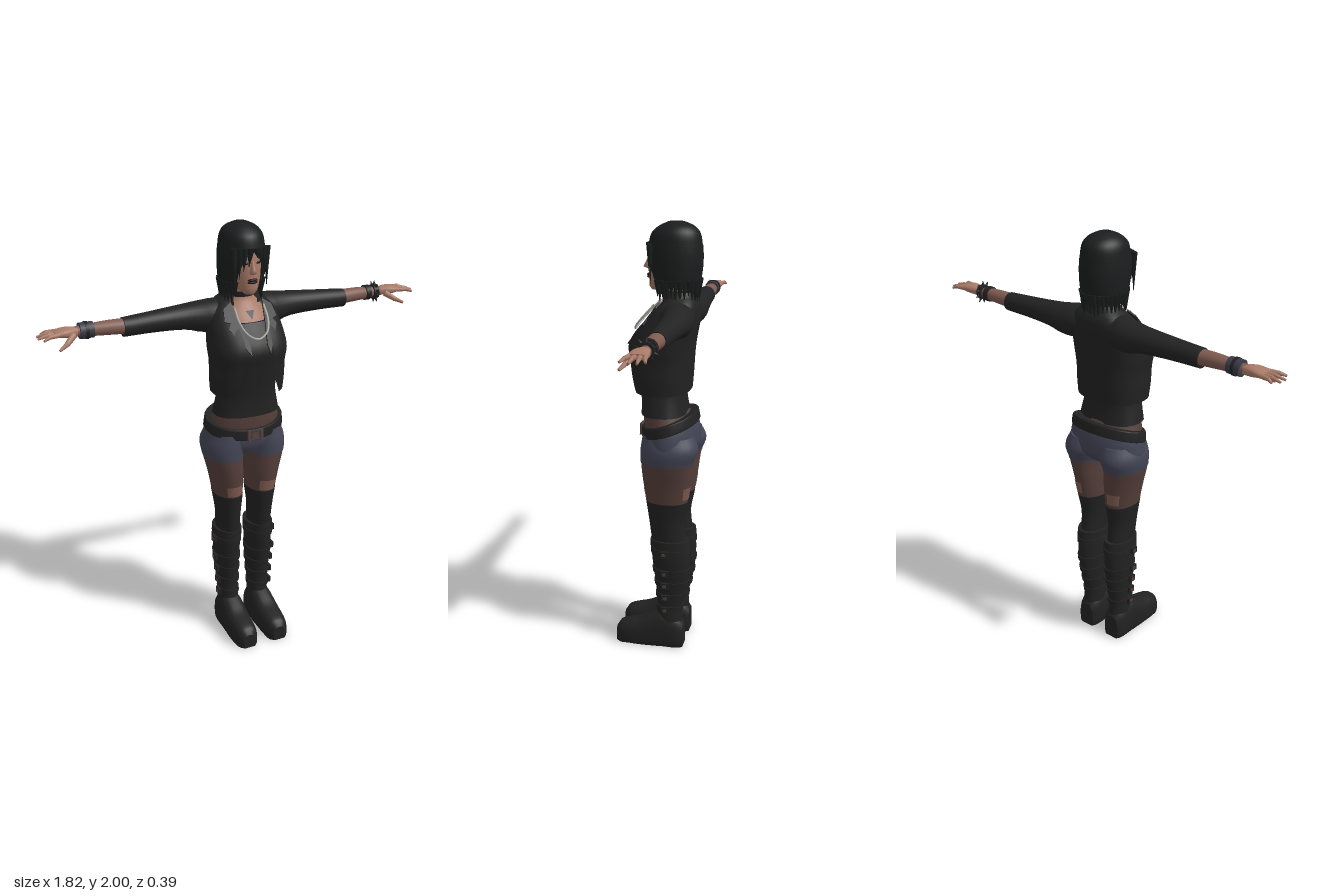
import * as THREE from 'three';

const mat = (name, color, side = THREE.DoubleSide) => {
  const m = new THREE.MeshStandardMaterial({ color, side });
  m.name = name;
  return m;
};

// Smoothly resample rows (sorted by their first value) between t0 and t1
function sample(rows, t0 = rows[0][0], t1 = rows[rows.length - 1][0], n = 16, grow = 0) {
  const out = [], last = rows.length - 1;
  const slope = (i, k) => {
    const a = rows[Math.max(i - 1, 0)], b = rows[Math.min(i + 1, last)];
    return (b[k] - a[k]) / (b[0] - a[0]);
  };
  for (let s = 0; s <= n; s++) {
    const t = t0 + (t1 - t0) * s / n;
    let i = 0;
    while (i < last - 1 && (t - rows[i + 1][0]) * (rows[last][0] - rows[0][0]) > 0) i++;
    const a = rows[i], b = rows[i + 1], h = b[0] - a[0], u = (t - a[0]) / h;
    const r = a.map((v, k) => k === 0 ? t
      : v * (2 * u ** 3 - 3 * u * u + 1) + b[k] * (3 * u * u - 2 * u ** 3)
      + h * (slope(i, k) * (u ** 3 - 2 * u * u + u) + slope(i + 1, k) * (u ** 3 - u * u)));
    r[2] += grow; r[3] += grow; r[4] -= grow;
    out.push(r);
  }
  return out;
}

// Skin cross-sections [t, centre, halfWidth, front, back, gap?] along an axis.
// A gap is the half angle left open, facing the front unless turned.
function loft(rows, { axis = 'y', e = 1, n = 28, cap = true, turn = 0, warp } = {}) {
  const pos = [], idx = [], open = rows[0].length > 5, cols = open ? n + 1 : n;
  const put = (t, u, v) => {
    const p = axis === 'y' ? [u, t, v] : axis === 'x' ? [t, u, v] : [u, v, t];
    pos.push(...(warp ? warp(...p) : p));
  };
  const pw = v => Math.sign(v) * Math.abs(v) ** e;
  const ring = ([t, c, w, f, b, g = 0]) => {
    for (let j = 0; j < cols; j++) {
      const a = Math.PI / 2 + turn + g + (2 * Math.PI - 2 * g) * j / n;
      put(t, c + w * pw(Math.cos(a)), (f + b) / 2 + (f - b) / 2 * pw(Math.sin(a)));
    }
  };
  const flip = (axis !== 'y') !== (rows[rows.length - 1][0] < rows[0][0]);
  const tri = (a, b, c) => flip ? idx.push(a, c, b) : idx.push(a, b, c);
  rows.forEach(ring);
  for (let i = 0; i < rows.length - 1; i++) for (let j = 0; j < n; j++) {
    const a = i * cols + j, b = i * cols + (j + 1) % cols;
    tri(a, a + cols, b); tri(b, a + cols, b + cols);
  }
  if (cap && !open) [rows[0], rows[rows.length - 1]].forEach((r, k) => {
    const s = pos.length / 3;
    ring(r); put(r[0], r[1], (r[3] + r[4]) / 2);
    for (let j = 0; j < n; j++) {
      const a = s + j, b = s + (j + 1) % n;
      k ? tri(a, s + n, b) : tri(a, b, s + n);
    }
  });
  const g = new THREE.BufferGeometry();
  g.setAttribute('position', new THREE.Float32BufferAttribute(pos, 3));
  g.setIndex(idx);
  g.computeVertexNormals();
  return g;
}

export function createModel() {
  const root = new THREE.Group();
  const cloth = mat('black cloth', 0x222222), hairMat = mat('hair', 0x1b1e1e), skin = mat('skin', 0xa87a68),
    dusky = mat('shaded skin', 0x7f5b50), tights = mat('tights', 0x553f3a), denim = mat('denim', 0x434555),
    silver = mat('silver', 0xb4b4ae), dark = mat('makeup', 0x1a1216), gun = mat('gunmetal', 0x393c48);
  const add = (parent, name, geo, m, p = [0, 0, 0], r = [0, 0, 0], s = [1, 1, 1]) => {
    const o = new THREE.Mesh(geo, m);
    o.name = name; o.position.set(...p); o.rotation.set(...r); o.scale.set(...s);
    parent.add(o);
    return o;
  };
  const limb = (parent, name, a, b, ra, rb, m) => {
    const A = new THREE.Vector3(...a), d = new THREE.Vector3(...b).sub(A);
    const o = add(parent, name, new THREE.CylinderGeometry(rb, ra, d.length(), 8), m);
    o.position.copy(A).addScaledVector(d, 0.5);
    o.quaternion.setFromUnitVectors(new THREE.Vector3(0, 1, 0), d.normalize());
  };

  // Torso: bare chest and neck, shirt, midriff
  add(root, 'chestAndNeck', loft(sample([[1.54, 0, .13, .075, -.13], [1.6, 0, .11, .04, -.13], [1.645, 0, .08, .005, -.12],
    [1.68, 0, .05, -.012, -.105], [1.75, 0, .047, -.005, -.11]])), skin);
  add(root, 'shirt', loft(sample([[1.15, 0, .156, .086, -.125], [1.2, 0, .145, .085, -.115], [1.26, 0, .133, .09, -.112],
    [1.32, 0, .138, .102, -.12], [1.4, 0, .15, .118, -.13], [1.46, 0, .158, .13, -.135], [1.52, 0, .15, .1, -.14], [1.58, 0, .13, .06, -.14]]), { e: .85 }), cloth);
  add(root, 'midriff', loft(sample([[1.04, 0, .172, .065, -.15], [1.1, 0, .166, .076, -.145], [1.18, 0, .146, .078, -.115]])), tights);
  add(root, 'chestTattoo', new THREE.CircleGeometry(.03, 3), gun, [0, 1.615, .036], [-.67, 0, -Math.PI / 2], [1, .8, 1]);

  // Cropped jacket, open at the front, with collar and lapels
  add(root, 'jacket', loft(sample([[1.255, 0, .164, .115, -.135, .68], [1.32, 0, .168, .126, -.14, .45], [1.4, 0, .168, .136, -.145, .36],
    [1.46, 0, .176, .142, -.15, .3], [1.52, 0, .172, .112, -.16, .3], [1.58, 0, .165, .06, -.17, .36], [1.63, 0, .148, .018, -.17, .45],
    [1.66, 0, .115, -.008, -.162, .6], [1.685, 0, .075, -.02, -.14, .7]], undefined, undefined, 24), { e: .8, n: 40 }), cloth);
  add(root, 'collar', loft([[1.645, 0, .1, .0, -.16, .6], [1.675, 0, .092, -.005, -.157, .65], [1.7, 0, .074, -.02, -.145, .75]]), cloth);
  const lapel = new THREE.Shape([[.075, .045], [.115, .02], [.125, -.04], [.1, -.05], [.115, -.075], [.045, -.21], [.04, -.17], [.06, -.06]]
    .map(p => new THREE.Vector2(...p)));

  // Shorts and sloping belt
  add(root, 'shorts', loft(sample([[.955, 0, .15, .045, -.13], [1, 0, .193, .068, -.172], [1.05, 0, .192, .075, -.176], [1.095, 0, .178, .08, -.158]]),
    { warp: (x, y, z) => [x, y - (y > 1.03 ? .3 * z * (y - 1.03) / .06 : 0), z] }), denim);
  add(root, 'belt', loft([[1.06, 0, .19, .083, -.172], [1.065, 0, .193, .086, -.175], [1.105, 0, .188, .086, -.168], [1.11, 0, .184, .083, -.164]],
    { warp: (x, y, z) => [x, y - .3 * z, z] }), cloth);
  add(root, 'beltBuckle', new THREE.BoxGeometry(.075, .05, .012), tights, [0, 1.06, .088], [-.1, 0, 0]);
  add(root, 'buckleFrame', new THREE.TorusGeometry(.03, .006, 4, 4), gun, [0, 1.06, .094], [0, 0, Math.PI / 4]);

  // Choker and chain necklace
  add(root, 'choker', loft([[1.68, 0, .056, -.006, -.112], [1.702, 0, .054, -.002, -.112]]), cloth);
  const chain = new THREE.CatmullRomCurve3([[-.07, 1.645, .02], [-.068, 1.59, .07], [-.045, 1.545, .108], [0, 1.523, .12],
    [.045, 1.545, .108], [.068, 1.59, .07], [.07, 1.645, .02]].map(p => new THREE.Vector3(...p)));
  add(root, 'necklace', new THREE.TubeGeometry(chain, 40, .0045, 5), silver);

  const leg = [[.54, .082, .05, .026, -.13], [.64, .083, .055, .038, -.122], [.74, .085, .067, .052, -.14], [.84, .092, .078, .066, -.155],
    [.94, .104, .09, .072, -.168], [1, .101, .097, .072, -.187], [1.06, .09, .085, .065, -.165]];
  const boot = [[.05, .08, .05, .01, -.12], [.13, .08, .05, .01, -.12], [.2, .079, .047, .002, -.117], [.3, .08, .051, .008, -.138],
    [.4, .083, .058, .02, -.15], [.48, .083, .061, .028, -.15], [.55, .082, .06, .028, -.142]];
  const foot = [[-.125, .08, .04, .12, -.02], [-.1, .08, .053, .15, -.03], [-.03, .08, .058, .18, -.03], [.02, .08, .06, .16, -.03],
    [.08, .081, .061, .128, -.03], [.15, .081, .056, .108, -.03], [.185, .08, .046, .094, -.03], [.2, .08, .03, .07, -.02]];

  for (const side of [1, -1]) {
    const half = new THREE.Group();
    half.name = side > 0 ? 'leftSide' : 'rightSide';
    half.scale.x = side;
    root.add(half);

    add(half, 'lapel', new THREE.ExtrudeGeometry(lapel, { depth: .006, bevelEnabled: false }), cloth, [0, 1.63, .022], [-.64, .12, 0]);

    // Leg: shorts, torn tights, stocking
    add(half, 'shortsLeg', loft(sample(leg, .935, 1.06, 10, .002)), denim);
    add(half, 'tights', loft(sample(leg, .74, .95, 10)), tights);
    add(half, 'stocking', loft(sample(leg, .54, .742, 10, .002)), cloth);
    const patch = (y0, y1, turn, h) => add(half, 'tightsHole',
      loft(sample(leg, y0, y1, 4, .002).map(r => [...r, Math.PI - h]), { turn, n: 10 }), dusky);
    patch(.748, .8, Math.PI + .05, .55);
    patch(.76, .82, .25, .4);

    // Buckled boot
    add(half, 'bootShaft', loft(sample(boot, .05, .55, 20)), cloth);
    add(half, 'bootCuff', loft(sample(boot, .515, .55, 3, .006)), cloth);
    add(half, 'bootFoot', loft(sample(foot, -.125, .2, 20), { axis: 'z', e: .75, warp: (x, y, z) => [x, Math.max(0, y), z] }), cloth);
    for (const y of [.2, .265, .33, .395, .495]) {
      const [, c, w] = sample(boot, y, y + .01, 1)[0];
      add(half, 'bootStrap', loft(sample(boot, y - .012, y + .012, 2, .005)), cloth);
      add(half, 'strapBuckle', new THREE.BoxGeometry(.014, .03, .035), cloth, [c + w + .009, y, -.045]);
      add(half, 'strapPin', new THREE.BoxGeometry(.004, .014, .018), tights, [c + w + .016, y, -.045]);
    }

    // Arm: sleeve, forearm, hand
    add(half, 'sleeve', loft(sample([[.04, 1.6, .05, -.03, -.155], [.11, 1.593, .073, -.012, -.17], [.18, 1.59, .07, -.03, -.175],
      [.25, 1.595, .057, -.045, -.17], [.4, 1.593, .047, -.055, -.155], [.54, 1.588, .042, -.058, -.143]]), { axis: 'x' }), cloth);
    add(half, 'forearm', loft(sample([[.52, 1.592, .034, -.065, -.138], [.62, 1.595, .031, -.07, -.134], [.72, 1.595, .024, -.08, -.127],
      [.76, 1.597, .02, -.08, -.127]]), { axis: 'x' }), dusky);
    add(half, 'palm', loft(sample([[.74, 1.596, .02, -.08, -.126], [.78, 1.599, .021, -.064, -.135], [.81, 1.6, .017, -.06, -.138],
      [.84, 1.6, .011, -.064, -.136]]), { axis: 'x', e: .8 }), skin);
    [[-.128, -.142, .885], [-.11, -.115, .908], [-.09, -.083, .91], [-.071, -.045, .893]].forEach(([z0, z1, x]) => {
      limb(half, 'finger', [.82, 1.6, z0], [.868, 1.599, (z0 + z1) / 2], .011, .009, skin);
      limb(half, 'fingertip', [.865, 1.599, (z0 + z1) / 2], [x, 1.59, z1], .009, .005, skin);
    });
    limb(half, 'thumb', [.76, 1.59, -.075], [.8, 1.562, -.045], .015, .011, skin);
    limb(half, 'thumbTip', [.798, 1.564, -.046], [.835, 1.546, -.028], .011, .006, skin);

    add(half, 'eye', new THREE.SphereGeometry(.014, 12, 8), dark, [.031, 1.84, .046], [0, .3, 0], [1, .45, .4]);
  }

  // Wrist wear: a cuff on the right, a band and spiked bracelet on the left
  const band = (name, x0, x1, r, m) => add(root, name, loft([[x0, 1.596, r, -.103 + r, -.103 - r], [x1, 1.596, r, -.103 + r, -.103 - r]], { axis: 'x' }), m);
  band('wristCuff', -.73, -.67, .035, gun);
  band('cuffStrap', -.707, -.693, .038, silver).material = cloth;
  band('wristBand', .66, .685, .035, cloth);
  band('spikedBracelet', .703, .728, .034, cloth);
  for (let i = 0; i < 10; i++) {
    const a = i * Math.PI / 5, c = Math.cos(a), s = Math.sin(a);
    limb(root, 'spike', [.715, 1.596 + .032 * c, -.103 + .032 * s], [.715, 1.596 + .052 * c, -.103 + .052 * s], .007, .001, cloth);
  }

  // Head and face
  add(root, 'head', loft(sample([[1.702, 0, .022, .045, -.0], [1.715, 0, .038, .055, -.04], [1.74, 0, .053, .056, -.08], [1.78, 0, .066, .058, -.12],
    [1.84, 0, .074, .056, -.15], [1.9, 0, .074, .046, -.15], [1.95, 0, .055, .015, -.12]])), skin);
  add(root, 'nose', loft([[1.792, 0, .014, .062, .03], [1.8, 0, .016, .084, .03], [1.815, 0, .011, .076, .03], [1.85, 0, .008, .059, .03]], { n: 12 }), skin);
  for (const y of [1.758, 1.768]) add(root, 'lip', new THREE.SphereGeometry(.024, 12, 8), dark, [0, y, .055], [0, 0, 0], [1, .28, .45]);

  // Hair: shell with an open face, ragged hem and swept fringe
  add(root, 'hairCrown', loft(sample([[1.89, 0, .101, .06, -.18], [1.95, 0, .09, .043, -.168], [1.98, 0, .066, .008, -.14], [1.997, 0, .03, -.03, -.1]]), { cap: true }), hairMat);
  add(root, 'hairSides', loft(sample([[1.725, 0, .093, .035, -.17, .75], [1.76, 0, .1, .045, -.176, .64], [1.81, 0, .103, .058, -.182, .55],
    [1.86, 0, .103, .064, -.183, .32], [1.9, 0, .1, .06, -.18, .02]])), hairMat);
  for (let i = 0; i < 26; i++) {
    const a = Math.PI / 2 + .72 + (2 * Math.PI - 1.44) * i / 25, len = .07 + .035 * Math.abs(Math.sin(i * 2.4));
    add(root, 'hairTip', new THREE.ConeGeometry(.016, len, 5), hairMat,
      [.09 * Math.cos(a), 1.755 - len / 2, -.068 + .1 * Math.sin(a)], [Math.PI, 0, .12 * Math.sin(i * 3.1)]);
  }
  [[-.076, .034, .18, 0], [-.055, .045, .13, .05], [-.036, .052, .1, .1], [-.014, .058, .085, .12], [.02, .058, .05, -.25],
    [.038, .053, .08, -.2], [.058, .045, .12, -.08], [.077, .034, .18, 0]].forEach(([x, z, len, tilt]) =>
    add(root, 'fringe', new THREE.ConeGeometry(.018, len, 6), hairMat, [x, 1.905 - len / 2, z], [Math.PI, 0, tilt], [1, 1, .6]));
  return root;
}
